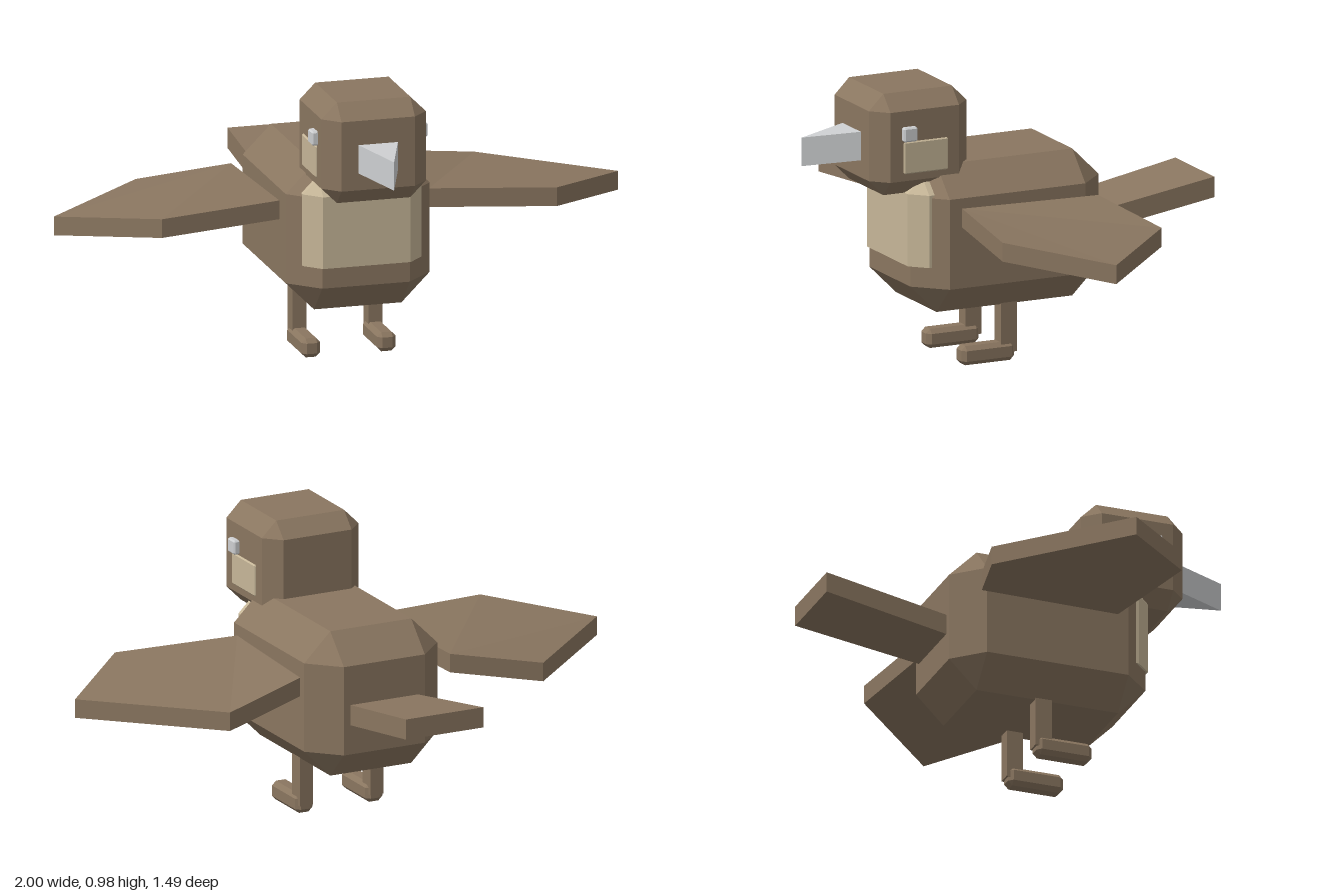
import * as THREE from 'three';
import { ConvexGeometry } from 'three/addons/geometries/ConvexGeometry.js';

const material = (name, color) => {
  const m = new THREE.MeshStandardMaterial({ color, flatShading: true });
  m.name = name;
  return m;
};

// Box between two corners with every edge bevelled by c; the bottom can stay square.
function chamferBox([x0, y0, z0], [x1, y1, z1], c, flatBottom = false) {
  const pts = [];
  for (const [x, dx] of [[x0, c], [x1, -c]])
    for (const [y, dy] of [[y0, c], [y1, -c]])
      for (const [z, dz] of [[z0, c], [z1, -c]]) {
        const d = flatBottom && y === y0 ? 0 : dy;
        pts.push(new THREE.Vector3(x, y + d, z + dz), new THREE.Vector3(x + dx, y + d, z));
        pts.push(new THREE.Vector3(x + dx, y, z + dz));
      }
  return new ConvexGeometry(pts);
}

// Slab of constant vertical thickness below a loop of top points.
function slab(loop, thickness) {
  const pos = [];
  const tri = (...pts) => pts.forEach((p) => pos.push(...p));
  const low = loop.map(([x, y, z]) => [x, y - thickness, z]);
  const n = loop.length;
  for (let i = 1; i < n - 1; i++) {
    tri(loop[0], loop[i], loop[i + 1]);
    tri(low[0], low[i + 1], low[i]);
  }
  for (let i = 0; i < n; i++) {
    const j = (i + 1) % n;
    tri(loop[i], low[i], low[j]);
    tri(loop[i], low[j], loop[j]);
  }
  const g = new THREE.BufferGeometry();
  g.setAttribute('position', new THREE.Float32BufferAttribute(pos, 3));
  g.computeVertexNormals();
  return g;
}

export function createModel() {
  const bird = new THREE.Group();
  bird.name = 'bird';
  const brown = material('brown feathers', 0x8a7660);
  const cream = material('cream feathers', 0xc6b698);
  const grey = material('pale grey', 0xcdcfd1);

  const add = (name, geometry, mat) => {
    const mesh = new THREE.Mesh(geometry, mat);
    mesh.name = name;
    bird.add(mesh);
  };

  // Body, breast patch and head
  add('body', chamferBox([-0.255, 0.2, -0.305], [0.255, 0.715, 0.41], 0.1), brown);
  add('breast', chamferBox([-0.21, 0.372, 0.1], [0.21, 0.68, 0.42], 0.055, true), cream);
  add('head', chamferBox([-0.185, 0.625, 0.185], [0.185, 0.98, 0.555], 0.055), brown);

  // Wedge beak, tipped slightly down
  add('beak', slab([[-0.09, 0.844, 0.5], [0, 0.825, 0.745], [0.09, 0.844, 0.5]], 0.1), grey);

  // Tail, rising and widening to the back
  add('tail', slab([
    [-0.125, 0.458, -0.2], [0.125, 0.458, -0.2], [0.148, 0.553, -0.748], [-0.148, 0.553, -0.748],
  ], 0.072), brown);

  // Paired parts
  for (const [side, s] of [['left', 1], ['right', -1]]) {
    const box = (a, b, c) => {
      const [x0, x1] = [a[0] * s, b[0] * s].sort((p, q) => p - q);
      return chamferBox([x0, a[1], a[2]], [x1, b[1], b[2]], c);
    };

    // Five-sided wing drooping to its tip and trailing corner
    const wing = [
      [0.265, 0.582, 0.268], [0.7, 0.568, 0.332], [1, 0.525, 0.05],
      [0.6, 0.524, -0.322], [0.287, 0.578, -0.237],
    ].map(([x, y, z]) => [x * s, y, z]);
    if (s < 0) wing.reverse();
    add(side + 'Wing', slab(wing, 0.066), brown);

    // Face
    add(side + 'Cheek', box([0.15, 0.705, 0.283], [0.191, 0.817, 0.45], 0.004), cream);
    add(side + 'Eye', box([0.15, 0.82, 0.405], [0.205, 0.87, 0.457], 0.005), grey);

    // Leg and foot
    const leg = new THREE.BoxGeometry(0.05, 0.25, 0.06);
    leg.translate(s * 0.135, 0.155, 0.038);
    add(side + 'Leg', leg, brown);
    add(side + 'Foot', box([0.101, 0, 0.015], [0.167, 0.067, 0.215], 0.015), brown);
  }
  return bird;
}
